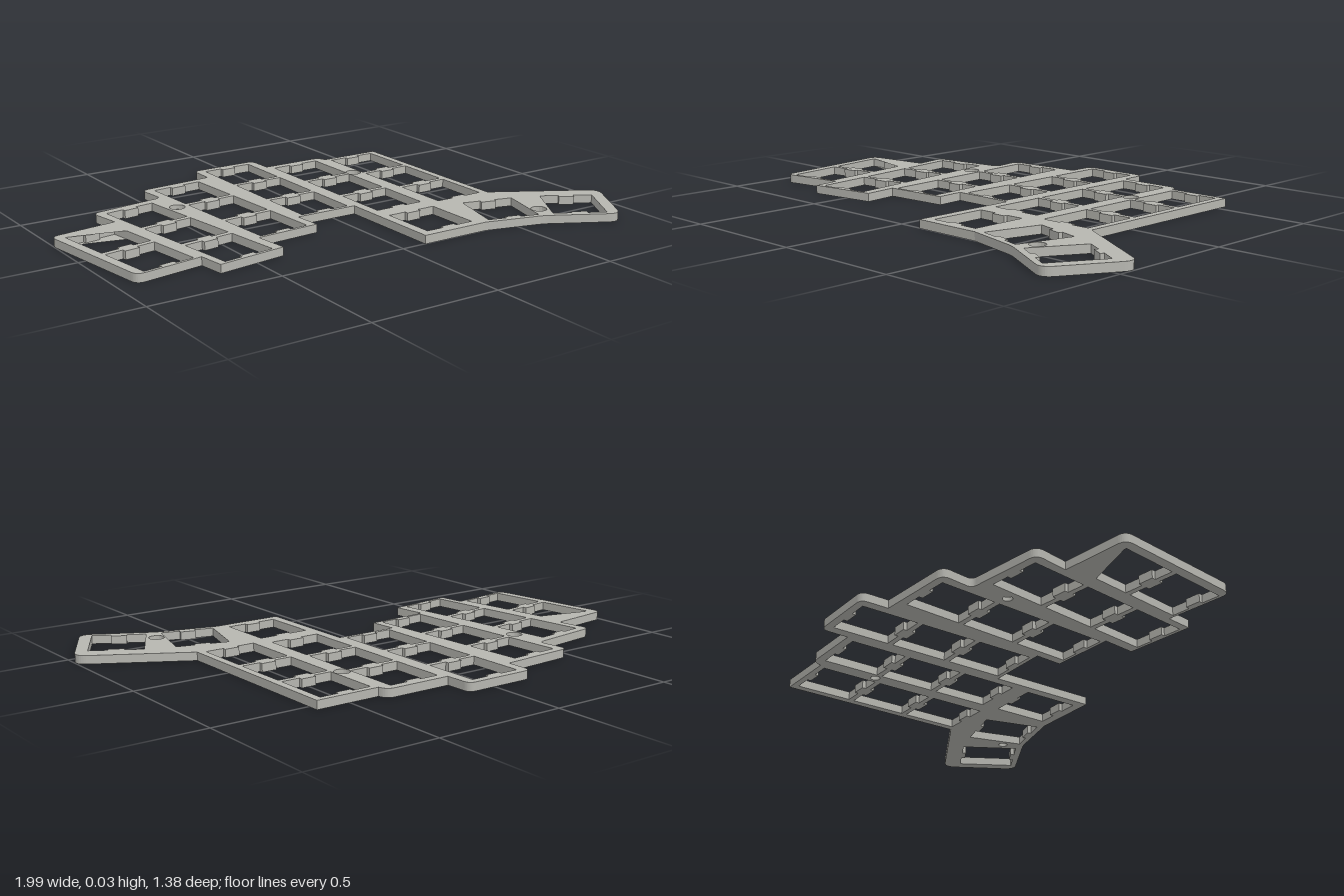
import * as THREE from 'three';

const S = 187, CX = 1134.5, CZ = 224; // drafting units per model unit, drafting centre
const H = 0.032;                      // plate thickness
const P = (x, z) => new THREE.Vector2((x - CX) / S, -(z - CZ) / S);

// Fills a path with straight edges; points are [x, z, cornerRadius]
function trace(path, pts) {
  const n = pts.length;
  pts.forEach(([x, z, r = 0], i) => {
    const a = pts[(i + n - 1) % n], b = pts[(i + 1) % n];
    const toward = (q) => {
      const d = Math.hypot(q[0] - x, q[1] - z);
      return P(x + (q[0] - x) * r / d, z + (q[1] - z) * r / d);
    };
    const s = toward(a), e = toward(b), c = P(x, z);
    if (i === 0) path.moveTo(s.x, s.y); else path.lineTo(s.x, s.y);
    if (r) path.quadraticCurveTo(c.x * 0.9 + (s.x + e.x) * 0.05, c.y * 0.9 + (s.y + e.y) * 0.05, e.x, e.y);
  });
  path.closePath();
  return path;
}

// Key opening with a small clip tab in the middle of its two long ribs
function keyHole(cx, cz, deg) {
  const a = deg * Math.PI / 180, w = 19, h = 21, t = 5.5, d = 18.2;
  const pts = [[-w, -h], [-t, -h], [-t, -d], [t, -d], [t, -h], [w, -h],
    [w, h], [t, h], [t, d], [-t, d], [-t, h], [-w, h]];
  return trace(new THREE.Path(), pts.map(([x, z]) => [
    cx + x * Math.cos(a) - z * Math.sin(a), cz + x * Math.sin(a) + z * Math.cos(a)]));
}

export function createModel() {
  const group = new THREE.Group();
  const grey = new THREE.MeshStandardMaterial({ color: 0xb6b6b0 });
  grey.name = 'warm grey';

  // Stepped outline of the staggered columns and the thumb cluster
  const outline = trace(new THREE.Shape(), [
    [947, 183, 6], [996.5, 176.5], [992, 151, 6], [1049, 143, 4], [1046, 119, 6],
    [1103.5, 115], [1103.5, 94.5, 5], [1155.5, 94.5, 5], [1156, 115], [1204, 115, 5],
    [1206, 122], [1252.5, 122], [1252.5, 263], [1323.5, 304, 8], [1294.5, 355, 8],
    [1247, 329, 4], [1204, 318], [1152.5, 318], [1152.5, 237], [1105.5, 237],
    [1107, 257.5], [1059.5, 260.5], [1062.5, 285.5], [1012, 292.5], [1009.5, 273], [960.5, 280.5, 6],
  ]);

  // Key columns: top key centre, tilt, number of keys
  const columns = [
    [976.4, 208, -8, 2], [1021.6, 174.6, -7.3, 3], [1074.4, 144, -3.5, 3],
    [1129.5, 121, 0, 3], [1178.5, 142, 0, 3], [1228, 147.5, 0, 3],
    [1178.5, 290, 0, 1], [1233, 299.5, 15, 1], [1283, 319.5, 30, 1],
  ];
  for (const [x, z, deg, count] of columns) {
    const a = deg * Math.PI / 180;
    for (let i = 0; i < count; i++) {
      outline.holes.push(keyHole(x - 46 * i * Math.sin(a), z + 46 * i * Math.cos(a), deg));
    }
  }

  // Screw holes, each with a recessed seat
  const R = 0.03, r = 0.018;
  const seatProfile = [[R, H], [R, H * 0.45], [R, H * 0.45], [r, H * 0.45], [r, H * 0.45], [r, 0], [r, 0], [R, 0]]
    .map(([x, y]) => new THREE.Vector2(x, y));
  const seatGeometry = new THREE.LatheGeometry(seatProfile, 32);
  const seatMaterial = grey;
  seatMaterial.side = THREE.DoubleSide;
  for (const [x, z] of [[1048, 170], [1202.8, 164.8], [1255, 315]]) {
    const c = P(x, z);
    outline.holes.push(new THREE.Path().absarc(c.x, c.y, R, 0, Math.PI * 2, true));
    const seat = new THREE.Mesh(seatGeometry, seatMaterial);
    seat.name = 'screwSeat';
    seat.position.set(c.x, 0, -c.y);
    group.add(seat);
  }

  // The plate itself
  const geometry = new THREE.ExtrudeGeometry(outline, { depth: H, bevelEnabled: false, curveSegments: 8 });
  geometry.rotateX(-Math.PI / 2);
  const plate = new THREE.Mesh(geometry, grey);
  plate.name = 'switchPlate';
  group.add(plate);
  return group;
}
